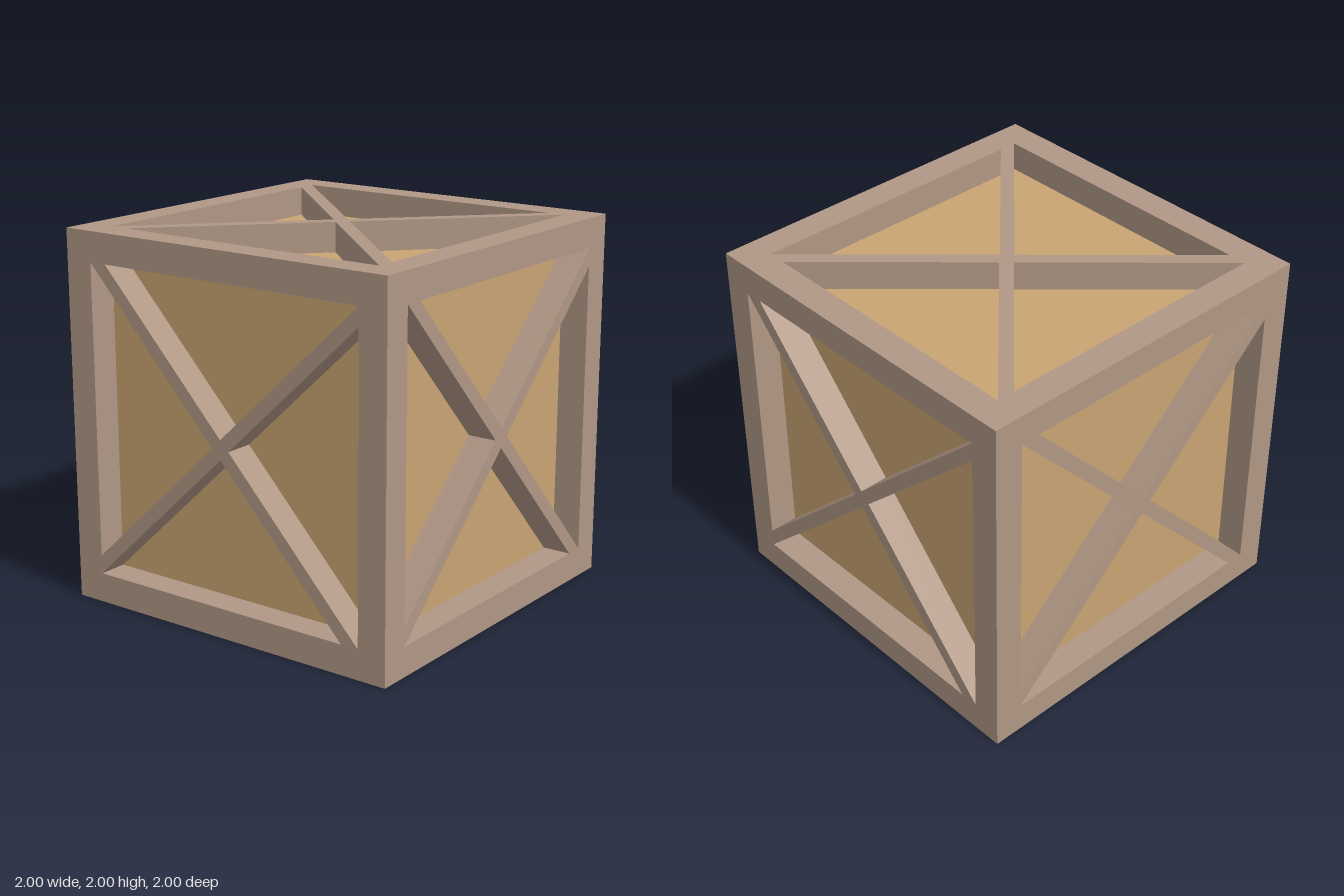
import * as THREE from 'three';

const HALF = 1;        // half the crate size
const INNER = 0.84;    // half the recessed core
const BEAM = HALF - INNER;

const frameWood = new THREE.MeshStandardMaterial({ name: 'frame wood', color: 0xb09785 });
const panelWood = new THREE.MeshStandardMaterial({ name: 'panel wood', color: 0xc9a473 });

// One cross-brace: an arm outline repeated in four quarter turns; side = -1 mirrors it
function crossBraceGeometry(side) {
  const points = [];
  for (let i = 0; i < 4; i++) {
    for (const [px, py] of [[-0.74, INNER], [-INNER, INNER], [-0.052, 0]]) {
      let x = px, y = py;
      for (let k = 0; k < i; k++) [x, y] = [-y, x];
      points.push(new THREE.Vector2(side * x, y));
    }
  }
  const geometry = new THREE.ExtrudeGeometry(new THREE.Shape(points), { depth: BEAM, bevelEnabled: false });
  return geometry.translate(0, 0, INNER);
}

export function createModel() {
  const crate = new THREE.Group();
  crate.name = 'crate';
  const body = new THREE.Group();
  body.name = 'crateBody';
  body.position.y = HALF;
  crate.add(body);

  const add = (name, geometry, material) => {
    const mesh = new THREE.Mesh(geometry, material);
    mesh.name = name;
    body.add(mesh);
    return mesh;
  };

  // Recessed panels
  add('panels', new THREE.BoxGeometry(2 * INNER, 2 * INNER, 2 * INNER), panelWood);

  // Edge beams: full-height posts with rails fitted between them
  const mid = HALF - BEAM / 2;
  const post = new THREE.BoxGeometry(BEAM, 2 * HALF, BEAM);
  const railX = new THREE.BoxGeometry(2 * INNER, BEAM, BEAM);
  const railZ = new THREE.BoxGeometry(BEAM, BEAM, 2 * INNER);
  for (const a of [-mid, mid]) {
    for (const b of [-mid, mid]) {
      add('cornerPost', post, frameWood).position.set(a, 0, b);
      add('crossRail', railX, frameWood).position.set(0, a, b);
      add('sideRail', railZ, frameWood).position.set(a, b, 0);
    }
  }

  // Cross-braces on all six faces
  const brace = crossBraceGeometry(1);
  ['front', 'left', 'back', 'right'].forEach((face, i) => {
    add(face + 'Brace', brace, frameWood).rotation.y = i * Math.PI / 2;
  });
  add('bottomBrace', brace, frameWood).rotation.x = Math.PI / 2;
  add('topBrace', crossBraceGeometry(-1), frameWood).rotation.x = -Math.PI / 2;

  return crate;
}
